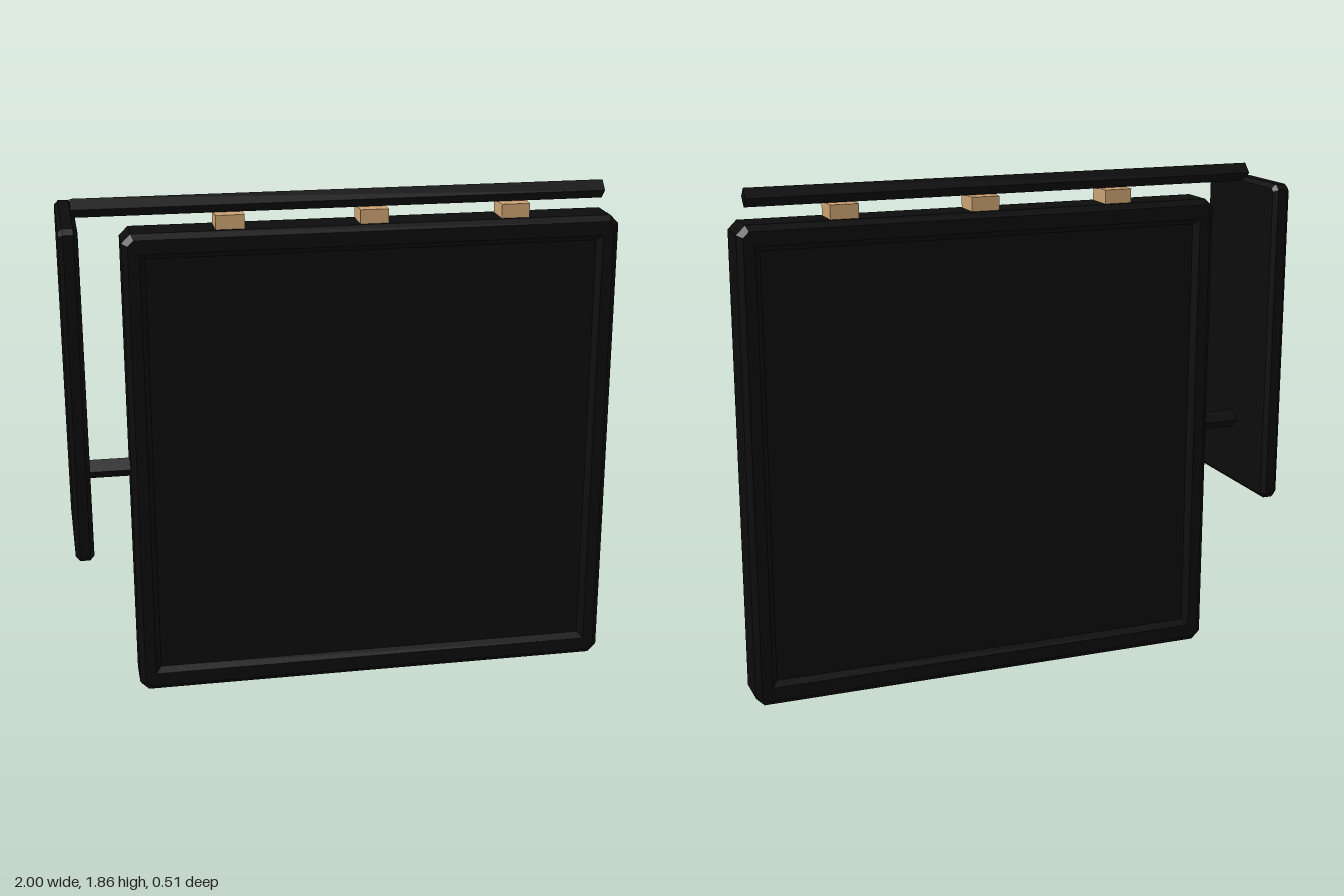
import * as THREE from 'three';

const black = new THREE.MeshStandardMaterial({ color: 0x0c0c0c });
black.name = 'black';
const wood = new THREE.MeshStandardMaterial({ color: 0xcaa272 });
wood.name = 'tan wood';

// Rectangle outline with clipped corners
function clippedRect(w, h, c, Type = THREE.Shape) {
  const x = w / 2, y = h / 2;
  return new Type([
    [-x + c, -y], [x - c, -y], [x, -y + c], [x, y - c],
    [x - c, y], [-x + c, y], [-x, y - c], [-x, -y + c],
  ].map(([a, b]) => new THREE.Vector2(a, b)));
}

// Bevelled slab of the given overall size, with an optional sloped opening
function slab(w, h, d, bevel, clip, hole) {
  const shape = clippedRect(w - 2 * bevel, h - 2 * bevel, clip);
  if (hole) shape.holes.push(hole);
  return new THREE.ExtrudeGeometry(shape, {
    depth: d - 2 * bevel, bevelEnabled: true, bevelSegments: 1,
    bevelSize: bevel, bevelThickness: bevel,
  }).center();
}

// Four-sided rod lying along x, standing on its edge
function diamondRod(r, length) {
  const g = new THREE.CylinderGeometry(r, r, length, 4).rotateZ(Math.PI / 2).toNonIndexed();
  g.computeVertexNormals();
  return g;
}

export function createModel() {
  const model = new THREE.Group();
  const add = (name, geometry, material, x, y, z = 0) => {
    const mesh = new THREE.Mesh(geometry, material);
    mesh.name = name;
    mesh.position.set(x, y, z);
    model.add(mesh);
    return mesh;
  };

  // Square board: bevelled frame around a recessed panel on both faces
  const opening = new THREE.Path([
    [-0.83, -0.8], [-0.83, 0.8], [0.83, 0.8], [0.83, -0.8],
  ].map(([x, y]) => new THREE.Vector2(x, y)));
  add('boardFrame', slab(1.78, 1.74, 0.17, 0.02, 0.02, opening), black, 0.105, 0.87);
  add('boardPanel', new THREE.BoxGeometry(1.7, 1.64, 0.13), black, 0.105, 0.87);

  // Upright side plate and the arm joining it to the board
  add('sidePlate', slab(0.51, 1.19, 0.065, 0.015, 0.01), black, -0.9675, 1.21).rotation.y = Math.PI / 2;
  add('sideArm', diamondRod(0.035, 0.19), black, -0.86, 0.87);

  // Top rail resting on three wooden blocks
  add('topRail', diamondRod(0.033, 1.9), black, 0, 1.823);
  for (const x of [-0.407, 0.103, 0.615]) {
    add('spacerBlock', new THREE.BoxGeometry(0.102, 0.055, 0.108), wood, x, 1.763);
  }

  return model;
}
